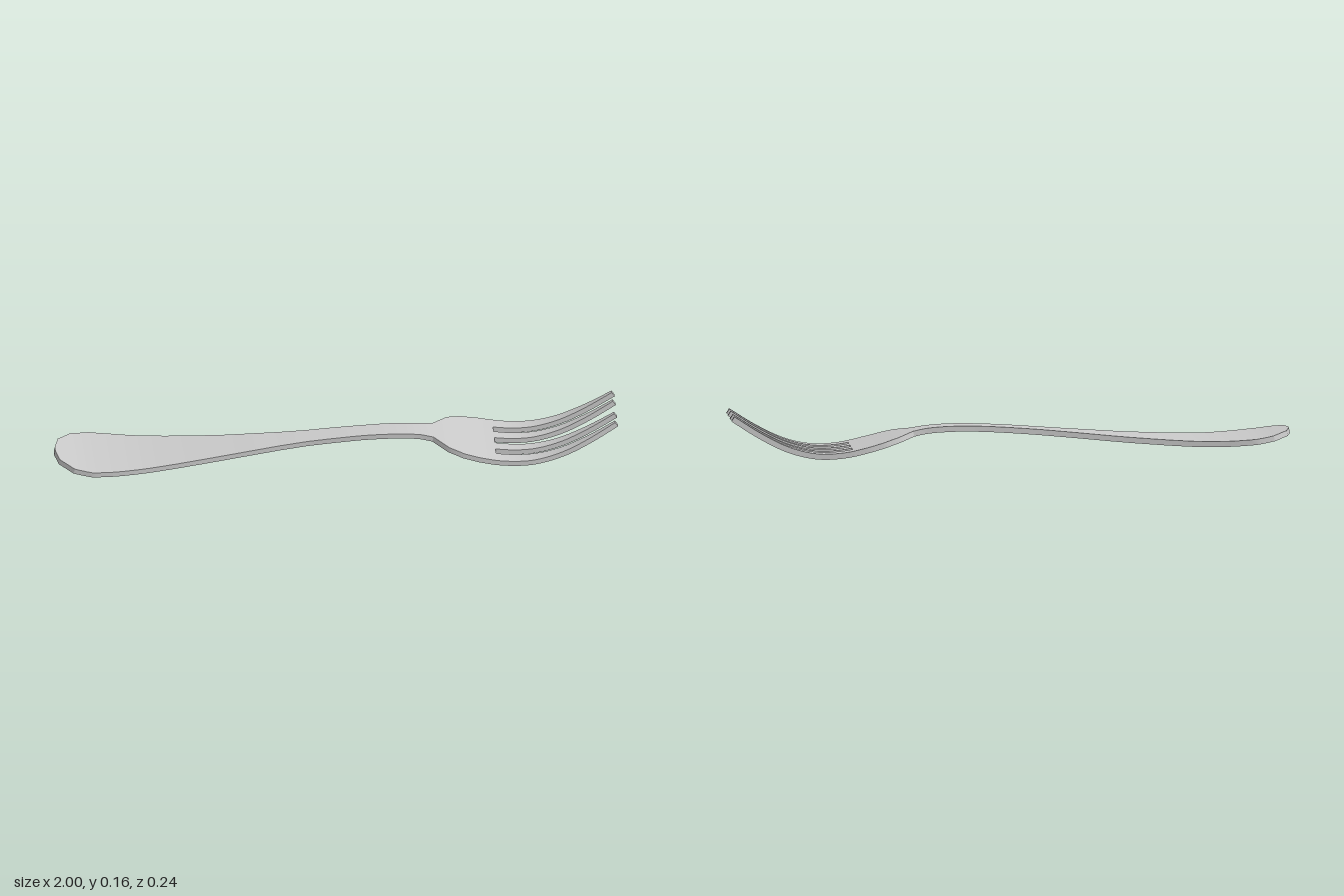
import * as THREE from 'three';
import { toCreasedNormals } from 'three/addons/utils/BufferGeometryUtils.js';

const THICK = 0.02;

// Side profile: heights of the centre line, evenly spaced from x = -1 to x = 1
const heights = [0.063, 0.043, 0.034, 0.031, 0.034, 0.04, 0.047, 0.056, 0.065, 0.074, 0.082,
  0.088, 0.09, 0.084, 0.063, 0.036, 0.015, 0.013, 0.038, 0.088, 0.152];
const profile = new THREE.CatmullRomCurve3(
  heights.map((y, i) => new THREE.Vector3(-1 + i * 0.1, y, 0)), false, 'catmullrom', 0.5);

// Rectangular cross-section at x, spanning z0..z1, square to the profile
function ring(x, z0, z1) {
  const t = (x + 1) / 2;
  const p = profile.getPoint(t);
  const d = profile.getTangent(t);
  const nx = -d.y * THICK / 2, ny = d.x * THICK / 2;
  return [
    [p.x + nx, p.y + ny, z0], [p.x + nx, p.y + ny, z1],
    [p.x - nx, p.y - ny, z1], [p.x - nx, p.y - ny, z0],
  ];
}

// Curved strip through stations [x, z0, z1]
function strip(name, stations, capStart, capEnd) {
  const rings = [ring(...stations[0])];
  for (let s = 1; s < stations.length; s++) {
    const a = stations[s - 1], b = stations[s];
    const n = Math.ceil((b[0] - a[0]) / 0.025);
    for (let i = 1; i <= n; i++) rings.push(ring(...a.map((v, k) => v + (b[k] - v) * i / n)));
  }
  const pos = [];
  const quad = (a, b, c, d) => pos.push(...a, ...b, ...c, ...a, ...c, ...d);
  for (let i = 1; i < rings.length; i++) {
    const p = rings[i - 1], q = rings[i];
    for (let k = 0; k < 4; k++) quad(p[k], p[(k + 1) % 4], q[(k + 1) % 4], q[k]);
  }
  const first = rings[0], last = rings[rings.length - 1];
  if (capStart) quad(first[0], first[3], first[2], first[1]);
  if (capEnd) quad(...last);

  const geo = new THREE.BufferGeometry();
  geo.setAttribute('position', new THREE.Float32BufferAttribute(pos, 3));
  const mesh = new THREE.Mesh(toCreasedNormals(geo, 0.5),
    new THREE.MeshStandardMaterial({ color: 0xcccccc }));
  mesh.name = name;
  return mesh;
}

const symmetric = (list) => list.map(([x, w]) => [x, -w, w]);

export function createModel() {
  const group = new THREE.Group();
  group.name = 'fork';

  // Handle, rounded at the end and narrowing to the neck
  group.add(strip('handle', symmetric([
    [-0.998, 0.012], [-0.985, 0.062], [-0.935, 0.107], [-0.87, 0.121], [-0.8, 0.115],
    [-0.6, 0.088], [-0.4, 0.062], [-0.2, 0.041], [-0.1, 0.034], [0.1, 0.031],
    [0.3, 0.034], [0.345, 0.041],
  ]), true, false));

  // Head, flaring out from the neck to the tine roots
  group.add(strip('head', symmetric([
    [0.345, 0.041], [0.4, 0.092], [0.45, 0.112], [0.51, 0.12], [0.565, 0.121],
  ]), false, true));

  // Tines: z range at the root and at the tip
  const tines = [
    ['outerTine', 0.078, 0.121, 0.083, 0.095],
    ['innerTine', 0.015, 0.052, 0.031, 0.043],
  ];
  for (const [name, r0, r1, t0, t1] of tines) {
    const stations = [
      [0.565, r0, r1],
      [0.7, r0 + (t0 - r0) * 0.15, r1 + (t1 - r1) * 0.12],
      [0.85, r0 + (t0 - r0) * 0.5, r1 + (t1 - r1) * 0.48],
      [0.995, t0, t1],
    ];
    group.add(strip(name + 'Left', stations.map(([x, a, b]) => [x, -b, -a]), false, true));
    group.add(strip(name + 'Right', stations, false, true));
  }
  return group;
}
